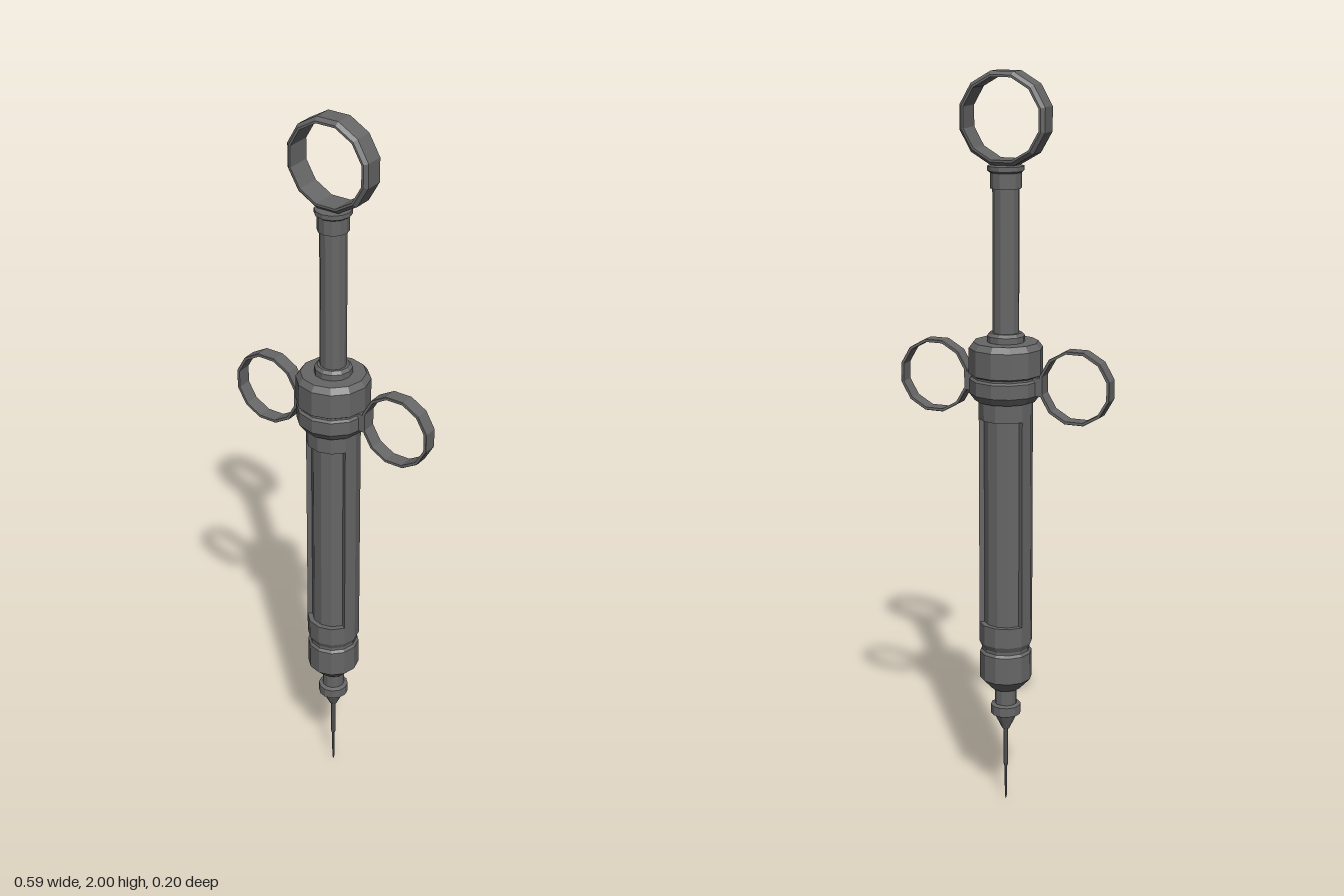
import * as THREE from 'three';

export function createModel() {
  const model = new THREE.Group();
  const steel = new THREE.MeshStandardMaterial({ color: 0x666666 });
  steel.name = 'steel';

  // Adds a mesh with faceted normals
  function add(name, geometry, parent = model) {
    const flat = geometry.index ? geometry.toNonIndexed() : geometry;
    flat.computeVertexNormals();
    const mesh = new THREE.Mesh(flat, steel);
    mesh.name = name;
    parent.add(mesh);
    return mesh;
  }

  // Turned part: profile of [radius, height] from bottom to top
  function turned(name, profile, sides = 12) {
    const points = profile.map(([r, y]) => new THREE.Vector2(r, y));
    return add(name, new THREE.LatheGeometry(points, sides));
  }

  // Twelve-sided finger ring with chamfered outer edges, facing front
  function ring(name, x, y, outer, inner, half, bevel) {
    const profile = [
      [inner, -half], [outer - bevel, -half], [outer, -half + bevel],
      [outer, half - bevel], [outer - bevel, half], [inner, half], [inner, -half],
    ].map(([r, h]) => new THREE.Vector2(r, h));
    const geometry = new THREE.LatheGeometry(profile, 12, Math.PI / 12);
    geometry.rotateX(Math.PI / 2);
    add(name, geometry).position.set(x, y, 0);
  }

  // Needle and its hub
  turned('needle', [[0, 0], [0.003, 0.012], [0.004, 0.1], [0.007, 0.11], [0.007, 0.23]], 8);
  turned('needleHub', [
    [0, 0.215], [0.01, 0.215], [0.032, 0.26], [0.041, 0.262], [0.041, 0.288],
    [0.03, 0.292], [0.03, 0.345], [0, 0.345],
  ]);

  // Lower barrel: tapered nose, groove and cup
  turned('barrelNose', [
    [0, 0.338], [0.04, 0.338], [0.071, 0.37], [0.071, 0.445], [0.065, 0.452],
    [0.065, 0.46], [0.072, 0.475], [0.072, 0.53], [0.05, 0.53], [0, 0.53],
  ]);

  // Cartridge seen through the front and back windows
  turned('cartridge', [[0.058, 0.52], [0.058, 1.12]]);

  // Side walls between the windows
  for (const side of [1, -1]) {
    const wall = new THREE.Shape();
    const at = (r, degrees) => {
      const a = THREE.MathUtils.degToRad(degrees);
      return new THREE.Vector2(side * r * Math.cos(a), r * Math.sin(a));
    };
    wall.setFromPoints([
      at(0.072, -30), at(0.072, 0), at(0.072, 30), at(0.052, 30), at(0.052, 0), at(0.052, -30),
    ]);
    const geometry = new THREE.ExtrudeGeometry(wall, { depth: 0.59, bevelEnabled: false });
    geometry.rotateX(-Math.PI / 2);
    add(side > 0 ? 'leftBarrelWall' : 'rightBarrelWall', geometry).position.y = 0.52;
  }

  // Upper barrel collar and the grip cap
  turned('barrelCollar', [[0.05, 1.1], [0.072, 1.1], [0.072, 1.16], [0, 1.16]]);
  turned('gripBase', [
    [0, 1.15], [0.082, 1.15], [0.097, 1.17], [0.097, 1.207], [0.09, 1.212], [0.09, 1.222],
  ]);
  turned('gripCap', [
    [0.09, 1.217], [0.098, 1.222], [0.098, 1.29], [0.086, 1.306], [0, 1.306],
  ]);

  // Finger rings with their lugs
  for (const side of [1, -1]) {
    const label = side > 0 ? 'left' : 'right';
    ring(label + 'FingerRing', side * 0.2, 1.2, 0.1, 0.092, 0.02, 0.001);
    add(label + 'RingLug', new THREE.BoxGeometry(0.03, 0.05, 0.04))
      .position.set(side * 0.096, 1.195, 0);
  }

  // Plunger rod with collars and thumb ring
  turned('rodGuide', [[0.05, 1.3], [0.05, 1.322], [0.042, 1.33], [0, 1.33]]);
  turned('plungerRod', [[0.035, 1.32], [0.035, 1.715]]);
  turned('rodCollar', [
    [0, 1.705], [0.041, 1.705], [0.041, 1.745], [0.048, 1.75], [0.048, 1.762], [0, 1.768],
  ]);
  ring('thumbRing', 0, 1.882, 0.122, 0.107, 0.034, 0.009);

  return model;
}
